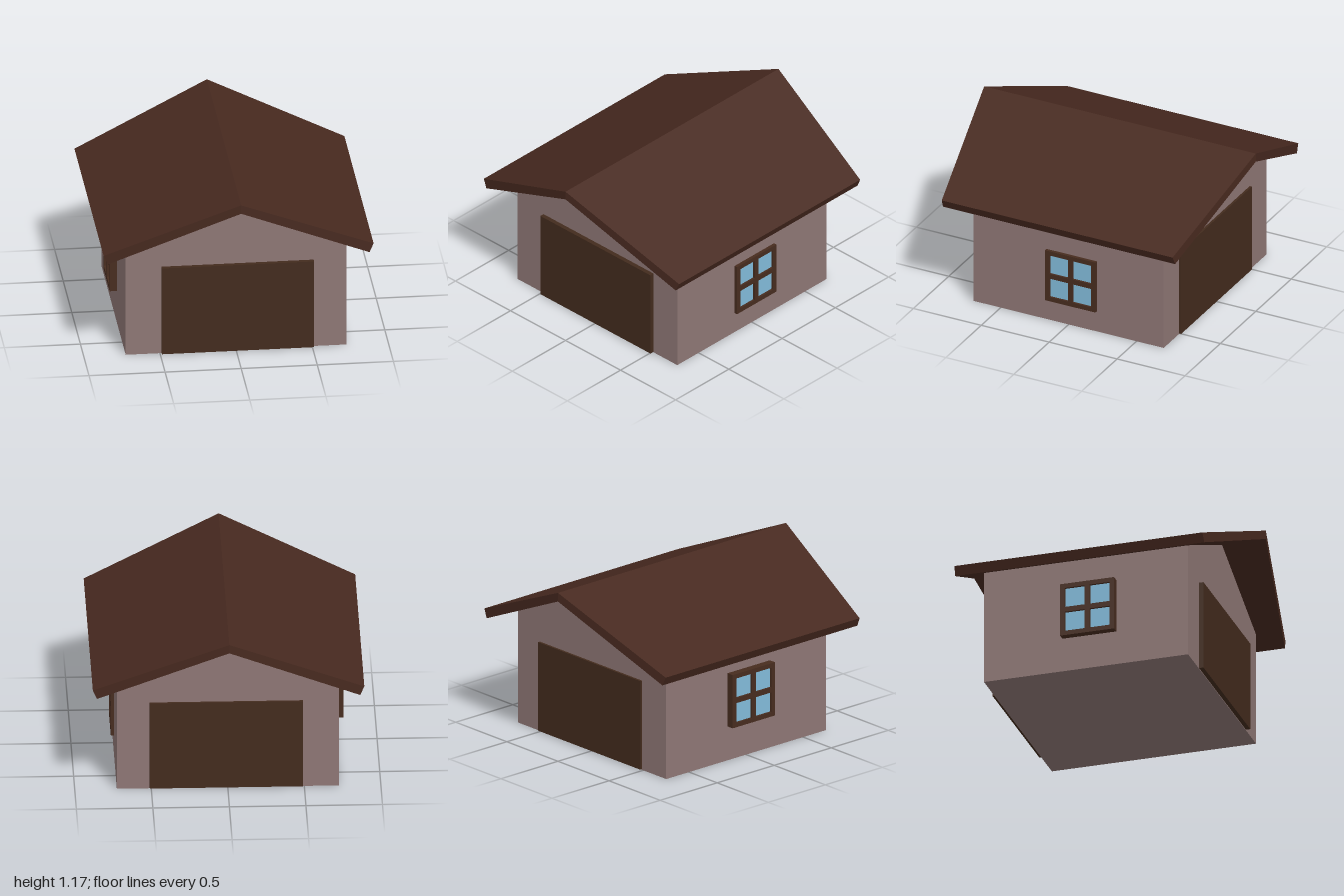
import * as THREE from 'three';

const paint = (color) => new THREE.MeshStandardMaterial({ color });
const wallMat = paint(0x8e7775), roofMat = paint(0x47291f);
const doorMat = paint(0x432b1d), frameMat = paint(0x472c1f), glassMat = paint(0x82bbda);

function add(parent, name, geometry, material, x = 0, y = 0, z = 0) {
  const mesh = new THREE.Mesh(geometry, material);
  mesh.name = name;
  mesh.position.set(x, y, z);
  parent.add(mesh);
  return mesh;
}

const shapeOf = (pts) => new THREE.Shape(pts.map(([x, y]) => new THREE.Vector2(x, y)));

// Extrusion centred on z
function slab(shape, depth) {
  return new THREE.ExtrudeGeometry(shape, { depth, bevelEnabled: false }).translate(0, 0, -depth / 2);
}

// Square window facing +z, its front surface at z = 0
function makeWindow(name) {
  const group = new THREE.Group();
  group.name = name;
  const h = 0.185, inner = 0.154, bar = 0.0175, depth = 0.06;
  const frame = shapeOf([[-h, -h], [h, -h], [h, h], [-h, h]]);
  for (const sx of [-1, 1]) for (const sy of [-1, 1]) {
    const a = sx * bar, b = sx * inner, c = sy * bar, d = sy * inner;
    frame.holes.push(new THREE.Path([[a, c], [b, c], [b, d], [a, d]].map(([x, y]) => new THREE.Vector2(x, y))));
  }
  add(group, 'windowFrame', slab(frame, depth), frameMat, 0, 0, -depth / 2);
  add(group, 'windowGlass', new THREE.BoxGeometry(0.33, 0.33, 0.03), glassMat, 0, 0, -0.03);
  return group;
}

export function createModel() {
  const model = new THREE.Group();
  model.name = 'garage';

  // Solid gabled body, its top tucked just inside the roof
  const body = shapeOf([[-0.725, 0], [0.725, 0], [0.725, 0.8], [0, 1.125], [-0.725, 0.8]]);
  add(model, 'walls', slab(body, 1.4), wallMat);

  // Roof: chevron section whose ends run out to a point at the ridge
  const chevron = shapeOf([[0, 1.17], [-0.887, 0.785], [-0.86, 0.725], [0, 1.11], [0.86, 0.725], [0.887, 0.785]]);
  const roof = slab(chevron, 2);
  const p = roof.attributes.position;
  for (let i = 0; i < p.count; i++) {
    p.setZ(i, Math.sign(p.getZ(i)) * (1 - 0.15 * Math.abs(p.getX(i)) / 0.887));
  }
  roof.computeVertexNormals();
  add(model, 'roof', roof, roofMat);

  // Wide doors front and back
  const door = new THREE.BoxGeometry(1, 0.615, 0.06);
  add(model, 'frontDoor', door, doorMat, 0.01, 0.3125, 0.7);
  add(model, 'backDoor', door, doorMat, 0.01, 0.3125, -0.686);

  // Side windows, set at different heights and depths
  const left = makeWindow('leftWindow');
  left.position.set(0.747, 0.335, -0.023);
  left.rotation.y = Math.PI / 2;
  const right = makeWindow('rightWindow');
  right.position.set(-0.775, 0.42, 0.023);
  right.rotation.y = -Math.PI / 2;
  model.add(left, right);

  return model;
}
